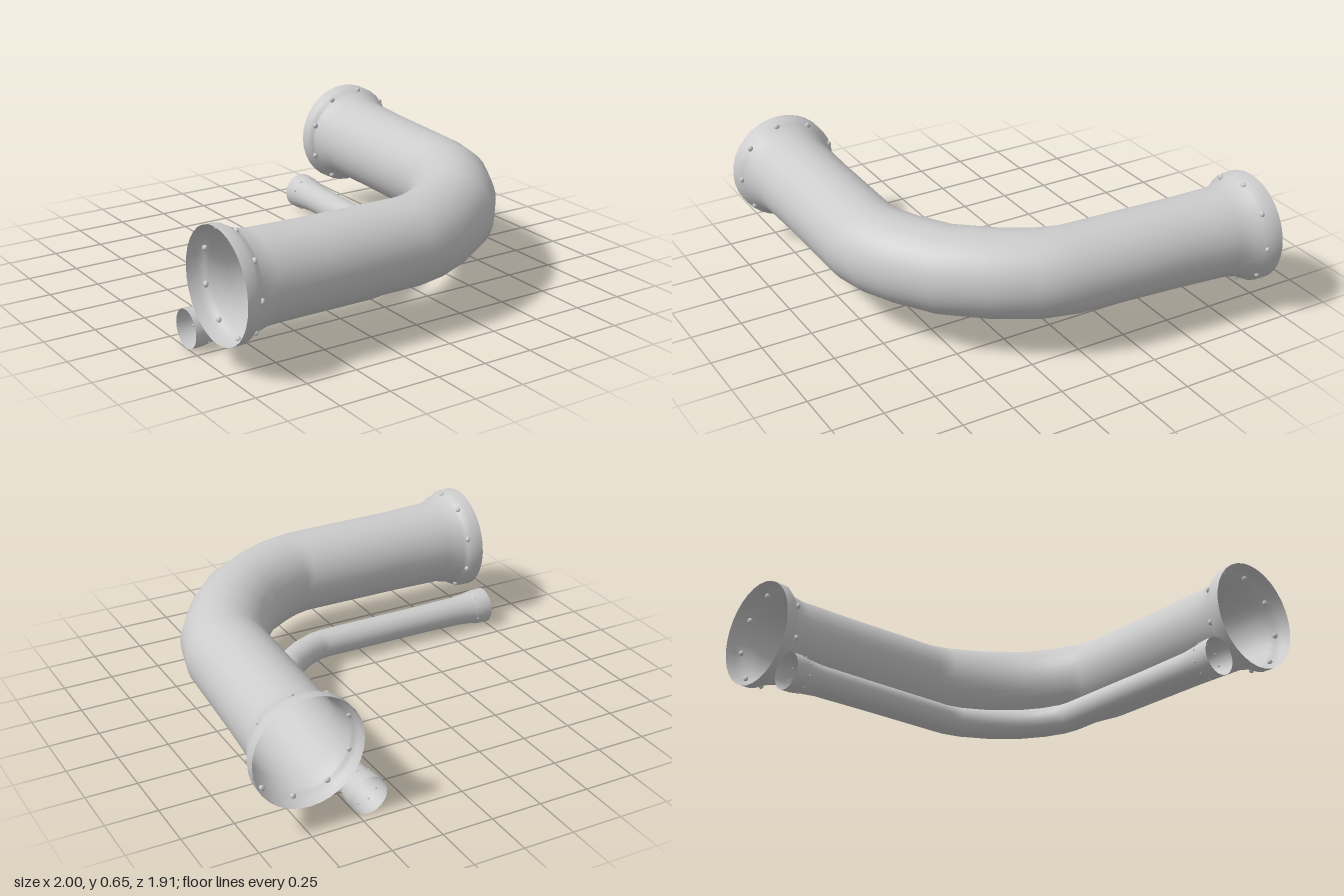
import * as THREE from 'three';

const SIDES = 32;
const BOLTS = 9;
const material = new THREE.MeshStandardMaterial({ color: 0xcccccc, side: THREE.DoubleSide });

// Stations along each pipe: [x, z, radius], from the left-hand mouth to the rear mouth
const mainStations = [
  [-1, 0.688, 0.265], [-0.95, 0.688, 0.264], [-0.92, 0.688, 0.247], [-0.9, 0.688, 0.234],
  [-0.82, 0.687, 0.215], [-0.56, 0.686, 0.209], [-0.02, 0.686, 0.207],
  [0.09, 0.66, 0.207], [0.216, 0.6, 0.207], [0.38, 0.495, 0.207], [0.524, 0.325, 0.207],
  [0.63, 0.15, 0.207], [0.67, 0.01, 0.205],
  [0.705, -0.5, 0.209], [0.725, -0.78, 0.215], [0.733, -0.855, 0.234], [0.735, -0.875, 0.247],
  [0.735, -0.905, 0.264], [0.735, -0.955, 0.265],
];
const smallStations = [
  [-1, 0.407, 0.092], [-0.95, 0.407, 0.091], [-0.92, 0.407, 0.086], [-0.9, 0.407, 0.082],
  [-0.82, 0.409, 0.075], [-0.56, 0.41, 0.072], [-0.04, 0.411, 0.072],
  [0.02, 0.4, 0.072], [0.11, 0.36, 0.072], [0.21, 0.29, 0.072], [0.31, 0.18, 0.072],
  [0.386, 0.05, 0.072], [0.41, -0.03, 0.072],
  [0.432, -0.5, 0.073], [0.446, -0.78, 0.075], [0.45, -0.855, 0.082], [0.451, -0.875, 0.086],
  [0.451, -0.905, 0.091], [0.451, -0.955, 0.092],
];

// Point on a ring around (x, y, z) whose axis is the horizontal direction t
function ringPoint(x, y, z, t, r, a) {
  const c = r * Math.cos(a);
  return new THREE.Vector3(x + c * t.z, y + r * Math.sin(a), z - c * t.x);
}

// Open thin-walled tube lofted through round cross-sections
function pipeShell(stations, y) {
  const positions = [], index = [], last = stations.length - 1;
  stations.forEach(([x, z, r], i) => {
    const before = stations[Math.max(i - 1, 0)], after = stations[Math.min(i + 1, last)];
    const t = new THREE.Vector3(after[0] - before[0], 0, after[1] - before[1]).normalize();
    for (let k = 0; k < SIDES; k++) {
      positions.push(...ringPoint(x, y, z, t, r, (k / SIDES) * Math.PI * 2).toArray());
      if (i === last) continue;
      const a = i * SIDES + k, b = i * SIDES + (k + 1) % SIDES;
      index.push(a, b, a + SIDES, b, b + SIDES, a + SIDES);
    }
  });
  const geometry = new THREE.BufferGeometry();
  geometry.setAttribute('position', new THREE.Float32BufferAttribute(positions, 3));
  geometry.setIndex(index);
  geometry.computeVertexNormals();
  return new THREE.Mesh(geometry, material);
}

// Ring of rounded bolt heads behind a flared mouth
function boltRing(x, y, z, t, radius, size) {
  const ring = new THREE.Group();
  const geometry = new THREE.SphereGeometry(size, 10, 8);
  for (let k = 0; k < BOLTS; k++) {
    const bolt = new THREE.Mesh(geometry, material);
    bolt.name = 'bolt';
    bolt.position.copy(ringPoint(x, y, z, t, radius, Math.PI + (k / BOLTS) * Math.PI * 2));
    bolt.scale.set(t.x ? 0.75 : 1, 1, t.z ? 0.75 : 1);
    ring.add(bolt);
  }
  return ring;
}

function pipe(name, stations, y, boltRadius, boltSize) {
  const group = new THREE.Group();
  group.name = name;
  const shell = pipeShell(stations, y);
  shell.name = name + 'Shell';
  const start = stations[0], end = stations[stations.length - 1];
  const leftBolts = boltRing(start[0] + 0.077, y, start[1], new THREE.Vector3(1, 0, 0), boltRadius, boltSize);
  leftBolts.name = 'sideMouthBolts';
  const rearBolts = boltRing(end[0], y, end[1] + 0.077, new THREE.Vector3(0, 0, -1), boltRadius, boltSize);
  rearBolts.name = 'rearMouthBolts';
  group.add(shell, leftBolts, rearBolts);
  return group;
}

export function createModel() {
  const model = new THREE.Group();
  model.name = 'pipeBend';
  model.add(
    pipe('mainPipe', mainStations, 0.389, 0.247, 0.015),
    pipe('smallPipe', smallStations, 0.093, 0.086, 0.006),
  );
  return model;
}
